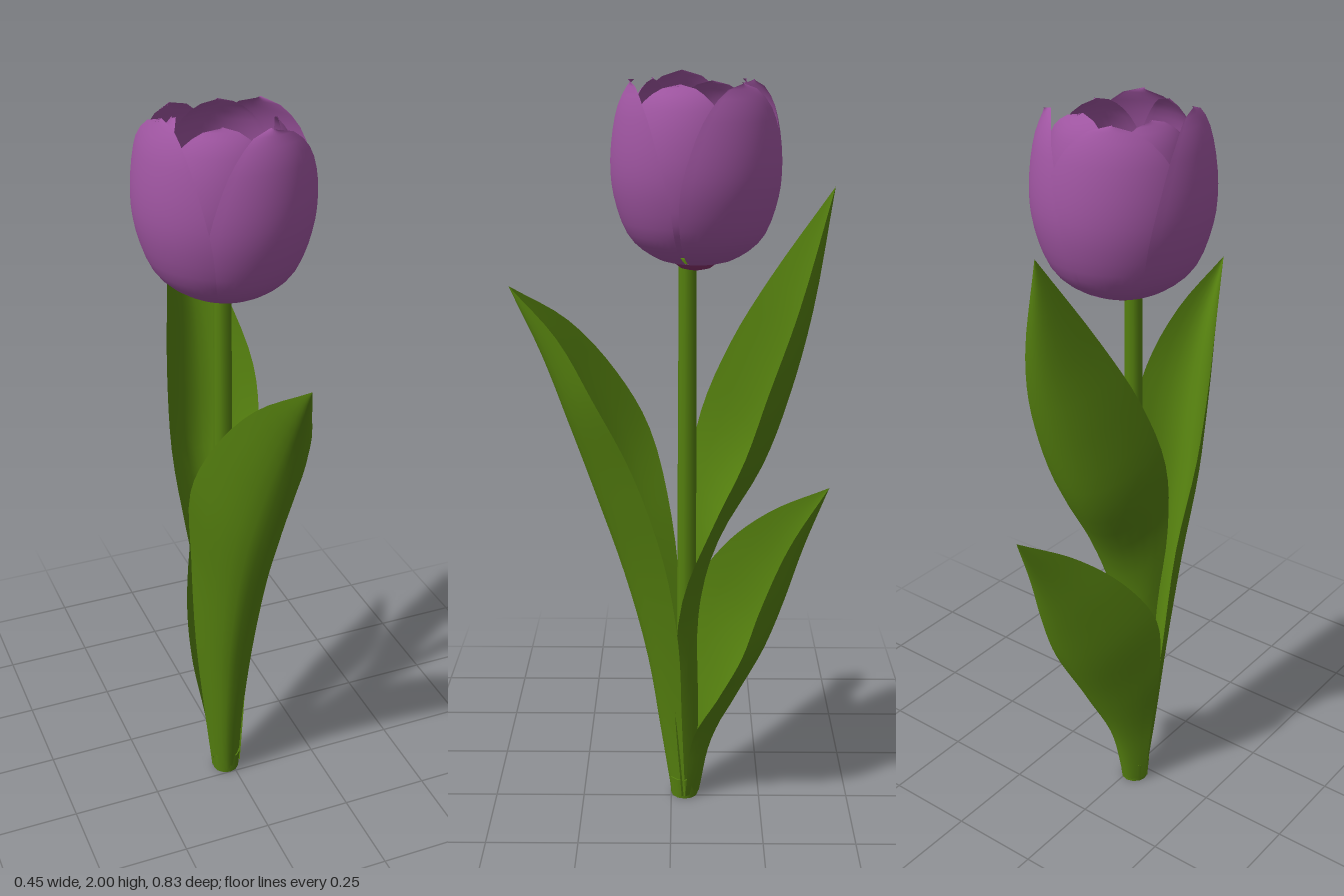
import * as THREE from 'three';
import { ParametricGeometry } from 'three/addons/geometries/ParametricGeometry.js';

const makeMaterial = (name, color) => {
  const m = new THREE.MeshStandardMaterial({ color, side: THREE.DoubleSide });
  m.name = name;
  return m;
};

function addMesh(parent, name, geometry, material) {
  const mesh = new THREE.Mesh(geometry, material);
  mesh.name = name;
  parent.add(mesh);
  return mesh;
}

function surface(fn, nu, nv) {
  const g = new ParametricGeometry(fn, nu, nv);
  g.computeVertexNormals();
  return g;
}

// Blade swept through [right edge, midrib, left edge] stations, curved across like a channel
function leafGeometry(stations) {
  const [a, m, b] = [0, 3, 6].map((k) => new THREE.CatmullRomCurve3(
    stations.map((s) => new THREE.Vector3(s[k], s[k + 1], s[k + 2]))));
  return surface((u, v, target) => {
    const p = a.getPoint(v), q = m.getPoint(v), r = b.getPoint(v);
    const c = q.clone().multiplyScalar(2).addScaledVector(p, -0.5).addScaledVector(r, -0.5);
    target.copy(p).multiplyScalar((1 - u) ** 2)
      .addScaledVector(c, 2 * u * (1 - u)).addScaledVector(r, u * u);
  }, 10, 28);
}

// Cupped petal: a (radius, height) profile spread over an angle, rounded off at the tip
function petalGeometry(profile, { deg, half, lift, flare, scale }) {
  const curve = new THREE.SplineCurve(profile.map(([r, y]) => new THREE.Vector2(r, y)));
  const toRad = THREE.MathUtils.degToRad;
  return surface((u, v, target) => {
    const s = Math.max(0, (v - 0.4) / 0.6);
    const w = u * 2 - 1;
    const a = toRad(deg + w * half * Math.pow(Math.max(0, 1 - s * s), 0.6));
    const p = curve.getPoint(v);
    const r = p.x * scale * (1 + flare * w * v);
    target.set(Math.cos(a) * r, p.y + lift * v, Math.sin(a) * r);
  }, 16, 20);
}

const FRONT_LEAF = [
  [-0.06, 0.01, -0.04, -0.02, 0.01, 0.0, 0.025, 0.01, -0.04],
  [-0.085, 0.25, -0.04, -0.03, 0.2, 0.03, 0.04, 0.25, -0.03],
  [-0.11, 0.5, -0.03, -0.03, 0.42, 0.065, 0.07, 0.5, -0.02],
  [-0.13, 0.8, 0.0, -0.03, 0.68, 0.13, 0.095, 0.75, 0.02],
  [-0.15, 1.05, 0.06, -0.02, 0.92, 0.205, 0.115, 1.0, 0.1],
  [-0.12, 1.22, 0.15, 0.0, 1.12, 0.27, 0.12, 1.2, 0.2],
  [-0.06, 1.37, 0.27, 0.015, 1.3, 0.335, 0.08, 1.35, 0.29],
  [0.02, 1.475, 0.415, 0.02, 1.475, 0.415, 0.02, 1.475, 0.415],
];
const TALL_LEAF = [
  [-0.06, 0.01, -0.03, -0.02, 0.01, -0.075, 0.025, 0.01, -0.03],
  [-0.07, 0.33, -0.03, -0.02, 0.3, -0.075, 0.035, 0.33, -0.01],
  [-0.09, 0.62, -0.03, -0.02, 0.55, -0.075, 0.055, 0.62, -0.03],
  [-0.13, 0.88, -0.04, -0.02, 0.78, -0.12, 0.095, 0.85, -0.11],
  [-0.15, 1.1, -0.08, -0.03, 1.0, -0.235, 0.145, 1.05, -0.19],
  [-0.13, 1.3, -0.16, -0.01, 1.2, -0.305, 0.15, 1.22, -0.245],
  [-0.09, 1.48, -0.26, 0.0, 1.42, -0.36, 0.095, 1.42, -0.32],
  [-0.03, 1.72, -0.415, -0.03, 1.72, -0.415, -0.03, 1.72, -0.415],
];
const SHORT_LEAF = [
  [-0.06, 0.01, -0.04, -0.02, 0.01, -0.08, 0.025, 0.01, -0.04],
  [-0.08, 0.2, -0.04, -0.01, 0.17, -0.11, 0.045, 0.2, -0.06],
  [-0.115, 0.42, -0.05, 0.0, 0.33, -0.17, 0.105, 0.36, -0.13],
  [-0.12, 0.6, -0.07, 0.01, 0.5, -0.245, 0.165, 0.51, -0.19],
  [-0.08, 0.74, -0.15, 0.03, 0.64, -0.3, 0.155, 0.64, -0.235],
  [-0.01, 0.86, -0.27, 0.05, 0.8, -0.355, 0.115, 0.8, -0.31],
  [0.065, 0.95, -0.415, 0.065, 0.95, -0.415, 0.065, 0.95, -0.415],
];
const OUTER_PROFILE = [[0.03, 1.53], [0.1, 1.545], [0.17, 1.6], [0.208, 1.7],
  [0.216, 1.8], [0.2, 1.91], [0.168, 1.98]];
const INNER_PROFILE = [[0.03, 1.545], [0.08, 1.56], [0.145, 1.63], [0.176, 1.74],
  [0.176, 1.84], [0.155, 1.92], [0.12, 1.965]];
const OUTER_PETALS = [
  { deg: 71, half: 54, lift: 0.005, flare: -0.05, scale: 1 },
  { deg: 168, half: 50, lift: 0.02, flare: 0.02, scale: 1.05 },
  { deg: 240, half: 56, lift: 0, flare: -0.02, scale: 1 },
  { deg: 320, half: 52, lift: 0, flare: 0.05, scale: 1.02 },
];
const INNER_PETALS = [20, 115, 200, 282].map((deg, i) => (
  { deg, half: 56, lift: 0.01 + 0.01 * (i % 2), flare: 0.04, scale: 1 }));

export function createModel() {
  const group = new THREE.Group();
  const green = makeMaterial('leafGreen', 0x55800f);
  const purple = makeMaterial('petalPurple', 0x9f55a1);
  const pink = makeMaterial('throatPink', 0x8c3470);
  const yellow = makeMaterial('centreYellow', 0xa8941a);

  // Stem
  const stem = addMesh(group, 'stem', new THREE.CylinderGeometry(0.023, 0.028, 1.53, 10), green);
  stem.position.set(-0.02, 0.775, -0.042);
  const foot = addMesh(group, 'stemFoot', new THREE.CylinderGeometry(0.043, 0.038, 0.06, 12), green);
  foot.position.set(-0.018, 0.03, -0.038);

  // Leaves
  const leaves = { frontLeaf: FRONT_LEAF, tallBackLeaf: TALL_LEAF, shortBackLeaf: SHORT_LEAF };
  for (const [name, stations] of Object.entries(leaves)) {
    addMesh(group, name, leafGeometry(stations), green);
  }

  // Flower: four outer and four inner petals around the throat
  const flower = new THREE.Group();
  flower.name = 'flower';
  flower.position.set(-0.003, 0, -0.062);
  group.add(flower);
  OUTER_PETALS.forEach((petal, i) => {
    addMesh(flower, `outerPetal${i + 1}`, petalGeometry(OUTER_PROFILE, petal), purple);
  });
  INNER_PETALS.forEach((petal, i) => {
    addMesh(flower, `innerPetal${i + 1}`, petalGeometry(INNER_PROFILE, petal), purple);
  });

  // Throat ring, yellow centre and tinted underside
  const ring = [[0.06, 1.578], [0.094, 1.602]].map(([r, y]) => new THREE.Vector2(r, y));
  addMesh(flower, 'throatRing', new THREE.LatheGeometry(ring, 7), pink);
  const centre = addMesh(flower, 'flowerCentre', new THREE.CircleGeometry(0.064, 12), yellow);
  centre.rotation.x = -Math.PI / 2;
  centre.position.y = 1.584;
  const under = [[0.02, 1.515], [0.04, 1.52], [0.06, 1.535]].map(([r, y]) => new THREE.Vector2(r, y));
  addMesh(flower, 'flowerBase', new THREE.LatheGeometry(under, 12), pink);

  return group;
}
